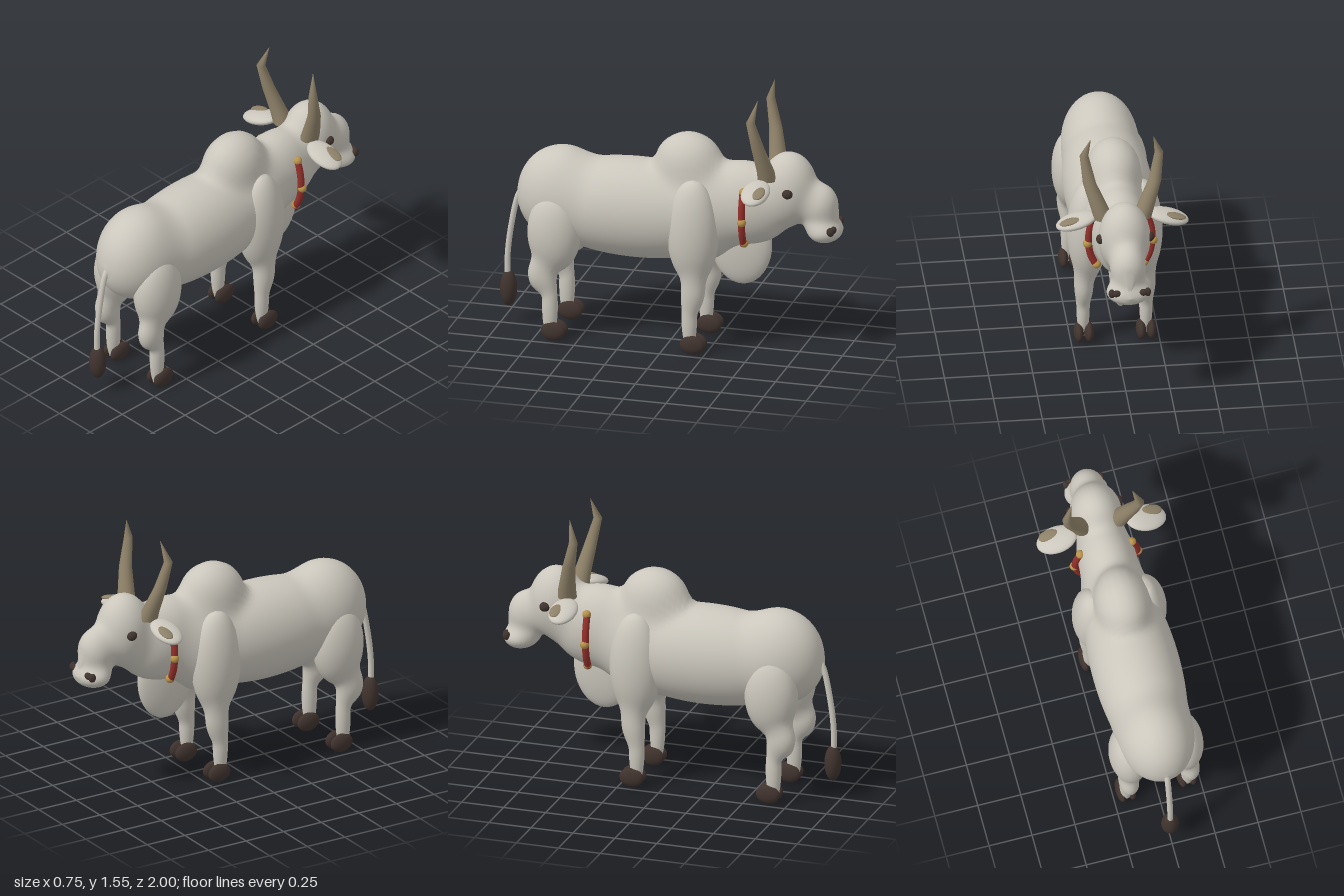
import * as THREE from 'three';

const mat = (name, color) => Object.assign(new THREE.MeshStandardMaterial({ color }), { name });

// Closed skin over a stack of rings (each an array of Vector3)
function loft(rings) {
  const n = rings[0].length, pos = [], idx = [];
  rings.forEach(r => r.forEach(p => pos.push(p.x, p.y, p.z)));
  for (let i = 0; i < rings.length - 1; i++) {
    for (let j = 0; j < n; j++) {
      const k = (j + 1) % n, a = i * n + j, b = i * n + k;
      idx.push(a, b, b + n, a, b + n, a + n);
    }
  }
  const g = new THREE.BufferGeometry();
  g.setAttribute('position', new THREE.Float32BufferAttribute(pos, 3));
  g.setIndex(idx);
  g.computeVertexNormals();
  return g;
}

// Approximate distance to a softly blended set of ellipsoids [x, y, z, rx, ry, rz]
function field(blobs, p, k) {
  let d = 1e3;
  for (const [x, y, z, rx, ry, rz] of blobs) {
    const a = (p.x - x) / rx, b = (p.y - y) / ry, c = (p.z - z) / rz;
    const k0 = Math.hypot(a, b, c), k1 = Math.hypot(a / rx, b / ry, c / rz) || 1;
    const e = k0 < 1e-6 ? -Math.min(rx, ry, rz) : k0 * (k0 - 1) / k1;
    const h = Math.max(k - Math.abs(d - e), 0) / k;
    d = Math.min(d, e) - h * h * k / 4;
  }
  return d;
}

// Rings along an axis, each pushed out to the blended surface around a spine
function skin(blobs, spine, axis, count, sides, reach, k) {
  const u = axis === 'z' ? new THREE.Vector3(1, 0, 0) : new THREE.Vector3(0, 0, 1);
  const v = axis === 'z' ? new THREE.Vector3(0, 1, 0) : new THREE.Vector3(1, 0, 0);
  const pts = spine.map(p => new THREE.Vector3(...p));
  const lo = pts[0][axis], hi = pts[pts.length - 1][axis], rings = [];
  for (let i = 0; i <= count; i++) {
    const f = i / count, ease = 0.5 - Math.cos(f * Math.PI) / 2;
    const t = lo + (hi - lo) * (0.5 * f + 0.5 * ease * ease * (3 - 2 * ease));
    let s = 0;
    while (s < pts.length - 2 && pts[s + 1][axis] < t) s++;
    const c = pts[s].clone().lerp(pts[s + 1], (t - pts[s][axis]) / (pts[s + 1][axis] - pts[s][axis]));
    const ring = [];
    for (let j = 0; j < sides; j++) {
      const w = j / sides * Math.PI * 2;
      const dir = u.clone().multiplyScalar(Math.cos(w)).addScaledVector(v, Math.sin(w));
      const at = r => field(blobs, c.clone().addScaledVector(dir, r), k);
      let r = reach;
      while (r > 0 && at(r) > 0) r -= 0.015;
      let a = Math.max(r, 0), b = a + 0.015;
      if (r > 0) {
        for (let q = 0; q < 10; q++) {
          const m = (a + b) / 2;
          if (at(m) > 0) b = m; else a = m;
        }
      }
      ring.push(c.clone().addScaledVector(dir, a));
    }
    rings.push(ring);
  }
  return loft(rings);
}

export function createModel() {
  const model = new THREE.Group();
  model.name = 'bull';
  const hide = mat('hide', 0xcbc7bd), horn = mat('horn', 0x8e8168), dark = mat('darkBrown', 0x40332e);
  const red = mat('collarRed', 0x94302a), gold = mat('beadGold', 0xb8924a);
  const ball = new THREE.SphereGeometry(1, 32, 20);

  const add = (name, geo, m, parent = model) => {
    const mesh = new THREE.Mesh(geo, m);
    mesh.name = name;
    parent.add(mesh);
    return mesh;
  };
  const blob = (name, m, pos, size, parent) => {
    const mesh = add(name, ball, m, parent);
    mesh.position.set(...pos);
    mesh.scale.set(...size);
    return mesh;
  };

  // Body, hump, neck and head in one blended skin
  const trunk = [
    [0, 0.82, 0.63, 0.215, 0.28, 0.262], // rump
    [0, 0.78, 0.2, 0.25, 0.29, 0.66],    // barrel
    [0, 0.8, -0.18, 0.2, 0.29, 0.25],    // chest
    [0, 1.06, -0.105, 0.155, 0.195, 0.2], // hump
    [0, 0.87, -0.42, 0.165, 0.245, 0.3], // neck
    [0, 0.98, -0.69, 0.145, 0.215, 0.16], // skull
    [0, 0.89, -0.865, 0.1, 0.135, 0.11], // nose bridge
    [0, 0.755, -0.9, 0.125, 0.07, 0.1],  // snout
  ];
  const spine = [[0, 0.76, -1], [0, 0.78, -0.94], [0, 0.86, -0.86], [0, 0.95, -0.69], [0, 0.87, -0.42],
    [0, 0.85, -0.18], [0, 0.79, 0.2], [0, 0.82, 0.895]];
  add('body', skin(trunk, spine, 'z', 130, 56, 0.6, 0.06), hide);
  blob('dewlap', hide, [0, 0.63, -0.41], [0.06, 0.25, 0.18]);

  // Tail and tuft
  const tail = new THREE.CatmullRomCurve3([[0.84, 0.86], [0.78, 0.895], [0.6, 0.935], [0.42, 0.957], [0.28, 0.957]]
    .map(([y, z]) => new THREE.Vector3(0, y, z)));
  add('tail', new THREE.TubeGeometry(tail, 24, 0.017, 12), hide);
  blob('tailTuft', dark, [0, 0.215, 0.952], [0.05, 0.105, 0.048]);

  for (const s of [1, -1]) {
    const side = s > 0 ? 'left' : 'right';
    const flip = list => list.map(([x, ...rest]) => [x * s, ...rest]);

    // Legs
    const hind = [[0.16, 0.64, 0.64, 0.11, 0.235, 0.155], [0.176, 0.39, 0.712, 0.057, 0.11, 0.076],
      [0.178, 0.2, 0.66, 0.038, 0.2, 0.045]];
    const hindPath = [[0.178, 0.03, 0.655], [0.178, 0.25, 0.665], [0.176, 0.4, 0.7], [0.16, 0.6, 0.64], [0.16, 0.876, 0.64]];
    const fore = [[0.155, 0.72, -0.17, 0.115, 0.31, 0.15], [0.175, 0.39, -0.182, 0.052, 0.13, 0.064],
      [0.178, 0.22, -0.155, 0.038, 0.21, 0.045]];
    const forePath = [[0.178, 0.03, -0.155], [0.178, 0.22, -0.155], [0.175, 0.4, -0.18], [0.155, 0.6, -0.17], [0.155, 1.03, -0.17]];
    add(side + 'HindLeg', skin(flip(hind), flip(hindPath), 'y', 60, 28, 0.3, 0.05), hide);
    add(side + 'FrontLeg', skin(flip(fore), flip(forePath), 'y', 60, 28, 0.3, 0.05), hide);

    // Cloven hooves
    for (const z of [0.635, -0.178])
      for (const x of [0.147, 0.205]) blob(side + 'Hoof', dark, [s * x, 0.058, z], [0.028, 0.055, 0.071]);

    // Horn, bent inward at the tip
    const hornRings = [[0.11, 1.06, -0.592, 0.054], [0.13, 1.12, -0.587, 0.05], [0.185, 1.27, -0.558, 0.037],
      [0.212, 1.43, -0.522, 0.025], [0.178, 1.555, -0.555, 0.001]].map(([x, y, z, r]) =>
      Array.from({ length: 16 }, (_, j) => {
        const w = j / 16 * Math.PI * 2;
        return new THREE.Vector3(s * x + r * Math.sin(w), y, z + r * Math.cos(w));
      }));
    add(side + 'Horn', loft(hornRings), horn);

    // Drooping ear with its inner patch
    const ear = new THREE.Group();
    ear.name = side + 'Ear';
    ear.position.set(s * 0.26, 1.03, -0.565);
    ear.rotation.z = -s * 0.27;
    blob('earShell', hide, [0, 0, 0], [0.12, 0.034, 0.08], ear);
    blob('innerEar', horn, [s * 0.035, 0.026, -0.03], [0.06, 0.012, 0.034], ear);
    model.add(ear);

    // Eye and nostril
    blob(side + 'Eye', dark, [s * 0.137, 0.995, -0.717], [0.028, 0.028, 0.031]);
    blob(side + 'Nostril', dark, [s * 0.075, 0.782, -0.968], [0.028, 0.02, 0.018]);
    blob(side + 'NostrilRim', dark, [s * 0.102, 0.778, -0.958], [0.018, 0.026, 0.022]);

    // Beaded collar arc
    const arc = new THREE.CatmullRomCurve3([[0.15, 0.985], [0.173, 0.91], [0.18, 0.82], [0.168, 0.74], [0.135, 0.665]]
      .map(([x, y]) => new THREE.Vector3(s * x, y, -0.46)));
    add(side + 'Collar', new THREE.TubeGeometry(arc, 32, 0.02, 12), red);
    for (const [x, y] of [[0.15, 0.985], [0.186, 0.815], [0.135, 0.675]])
      blob(side + 'CollarBead', gold, [s * x, y, -0.463], [0.025, 0.025, 0.025]);
  }
  return model;
}
